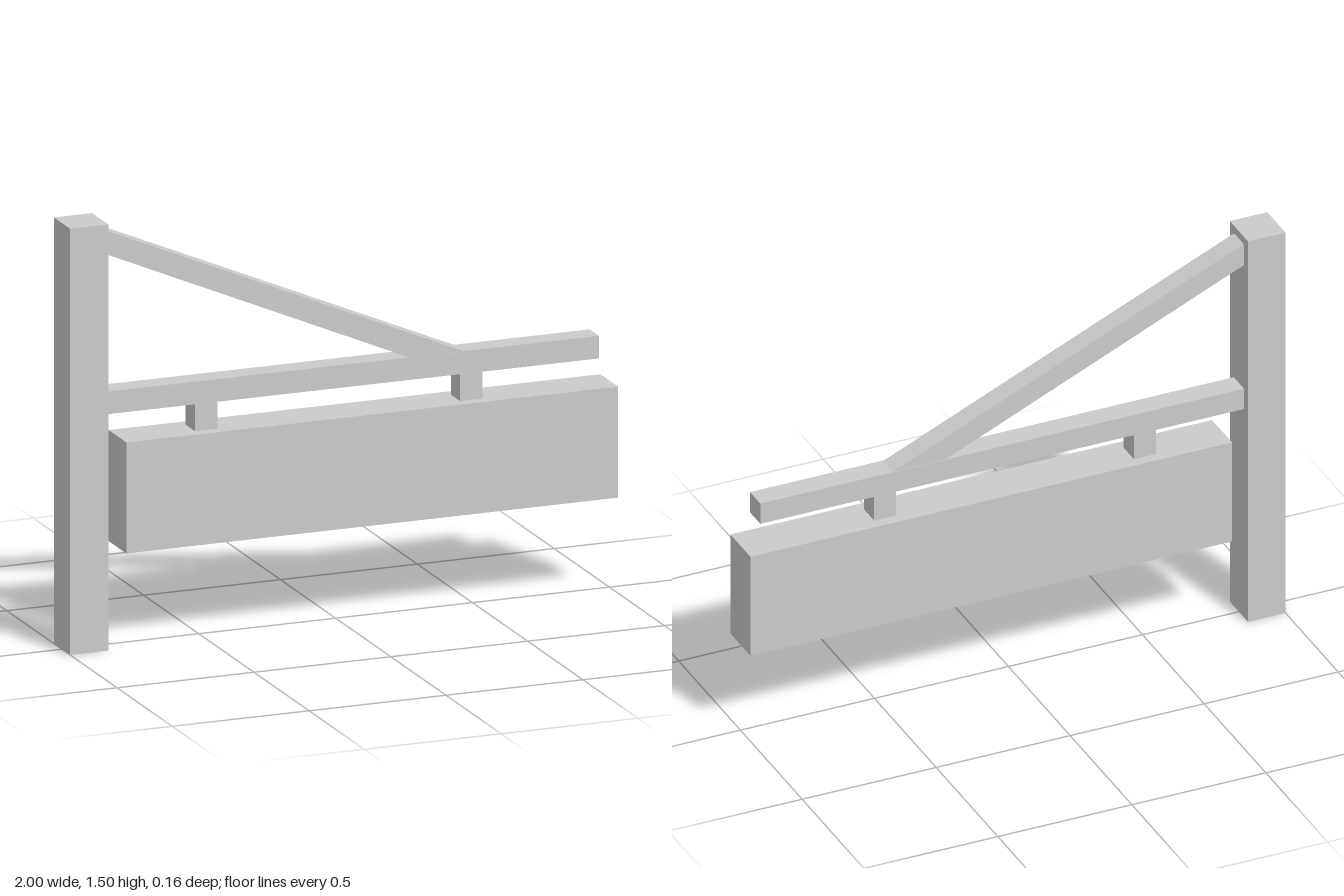
import * as THREE from 'three';

const material = new THREE.MeshStandardMaterial({ color: 0xcccccc, flatShading: true });

// Box given by its front rectangle and depth, centred on z = 0
function block(name, x0, x1, y0, y1, depth) {
  const mesh = new THREE.Mesh(new THREE.BoxGeometry(x1 - x0, y1 - y0, depth), material);
  mesh.position.set((x0 + x1) / 2, (y0 + y1) / 2, 0);
  mesh.name = name;
  return mesh;
}

export function createModel() {
  const group = new THREE.Group();
  group.name = 'hangingSign';

  // Post, horizontal arm and sign board
  group.add(block('post', -1, -0.86, 0, 1.505, 0.148));
  group.add(block('arm', -0.86, 0.945, 0.825, 0.905, 0.084));
  group.add(block('signBoard', -0.797, 1, 0.338, 0.73, 0.162));

  // Hangers between arm and board
  for (const x of [-0.49, 0.479]) {
    group.add(block('hanger', x - 0.041, x + 0.041, 0.73, 0.825, 0.084));
  }

  // Diagonal brace, cut flush with the post and the arm
  const profile = new THREE.Shape([
    new THREE.Vector2(-0.86, 1.392),
    new THREE.Vector2(0.25, 0.905),
    new THREE.Vector2(0.45, 0.905),
    new THREE.Vector2(-0.86, 1.476),
  ]);
  const depth = 0.078;
  const brace = new THREE.Mesh(
    new THREE.ExtrudeGeometry(profile, { depth, bevelEnabled: false }), material);
  brace.position.z = -depth / 2;
  brace.name = 'brace';
  group.add(brace);

  return group;
}
